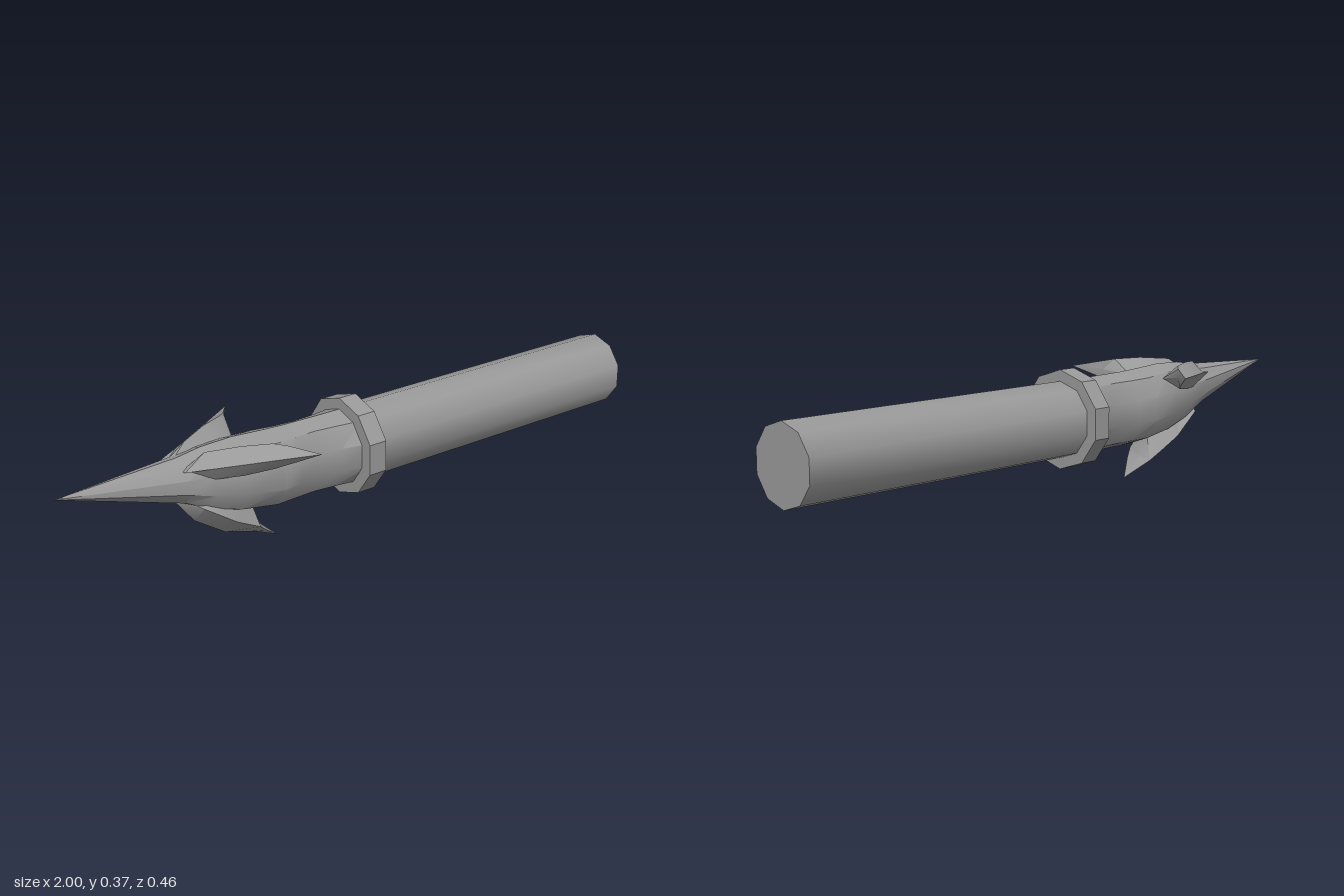
import * as THREE from 'three';
import { toCreasedNormals, mergeVertices } from 'three/addons/utils/BufferGeometryUtils.js';

const AXIS_Y = 0.2205;
const SIDES = 10;

// Skin between rings of [x, y, z] points that run from +y towards +z
function loft(rings, crease) {
  const pos = [], idx = [], n = rings[0].length;
  rings.forEach(r => r.forEach(p => pos.push(...p)));
  for (let i = 0; i < rings.length - 1; i++) {
    for (let j = 0; j < n; j++) {
      const k = (j + 1) % n;
      const a = i * n + j, b = i * n + k, c = a + n, d = b + n;
      idx.push(a, b, c, b, d, c);
    }
  }
  const g = new THREE.BufferGeometry();
  g.setAttribute('position', new THREE.Float32BufferAttribute(pos, 3));
  g.setIndex(idx);
  return toCreasedNormals(mergeVertices(g), crease);
}

// Oval ten-sided ring from bottom, top and half width
function bodyRing([x, y0, y1, half]) {
  return Array.from({ length: SIDES }, (_, j) => {
    const a = j / SIDES * Math.PI * 2;
    return [x, (y0 + y1) / 2 + Math.cos(a) * (y1 - y0) / 2, Math.sin(a) * half / 0.951];
  });
}

// Kite-shaped ring: outer ridge, two sides, inner edge
const barbRing = ([x, ridge, side, half, inner]) =>
  [[x, ridge, 0], [x, side, half], [x, inner, 0], [x, side, -half]];

export function createModel() {
  const model = new THREE.Group();
  model.name = 'harpoon';
  const metal = new THREE.MeshStandardMaterial({ color: 0x999999 });
  metal.name = 'grey metal';

  const add = (name, geometry) => {
    const mesh = new THREE.Mesh(geometry, metal);
    mesh.name = name;
    model.add(mesh);
    return mesh;
  };

  // Rod along x with a corner on top
  const rod = (name, radius, x0, x1, crease) => {
    const g = new THREE.CylinderGeometry(radius, radius, x1 - x0, SIDES, 1, false, Math.PI / 2);
    g.rotateZ(Math.PI / 2);
    g.translate((x0 + x1) / 2, AXIS_Y, 0);
    add(name, toCreasedNormals(g, crease));
  };
  rod('shaft', 0.115, -0.03, 1, 0.8);
  rod('collar', 0.149, -0.07, -0.01, 0.3);

  // Spear point, head and pinched neck in one skin
  add('head', loft([
    [-1, 0.315, 0.315, 0],
    [-0.63, 0.2, 0.333, 0.066],
    [-0.55, 0.155, 0.345, 0.07],
    [-0.45, 0.125, 0.348, 0.085],
    [-0.34, 0.11, 0.341, 0.1],
    [-0.27, 0.108, 0.338, 0.088],
    [-0.2, 0.107, 0.337, 0.08],
    [-0.13, 0.106, 0.336, 0.091],
    [-0.05, 0.1055, 0.3355, 0.109],
  ].map(bodyRing), 0.6));

  // Lower barb
  const lower = add('lowerBarb', loft([
    [-0.64, 0.015, 0.0, 0, -0.02],
    [-0.58, 0.09, 0.035, 0.055, 0],
    [-0.48, 0.155, 0.1, 0.066, 0],
    [-0.4, 0.178, 0.14, 0.062, 0.06],
    [-0.37, 0.188, 0.165, 0.047, 0.155],
    [-0.3, 0.217, 0.217, 0, 0.217],
  ].map(barbRing), 0.6));
  lower.position.y = AXIS_Y;
  lower.rotation.x = Math.PI;

  // Mirrored side barbs
  const sideBarb = loft([
    [-0.64, 0.06, 0.04, 0, 0.02],
    [-0.57, 0.095, 0.055, 0.04, 0.01],
    [-0.48, 0.143, 0.1, 0.042, 0.02],
    [-0.4, 0.185, 0.135, 0.036, 0.07],
    [-0.37, 0.201, 0.16, 0.027, 0.155],
    [-0.31, 0.234, 0.234, 0, 0.234],
  ].map(barbRing), 0.6);
  for (const s of [1, -1]) {
    const barb = add(s > 0 ? 'frontBarb' : 'backBarb', sideBarb);
    barb.position.y = 0.303;
    barb.rotation.x = s * (Math.PI / 2 - 0.135);
  }
  return model;
}
